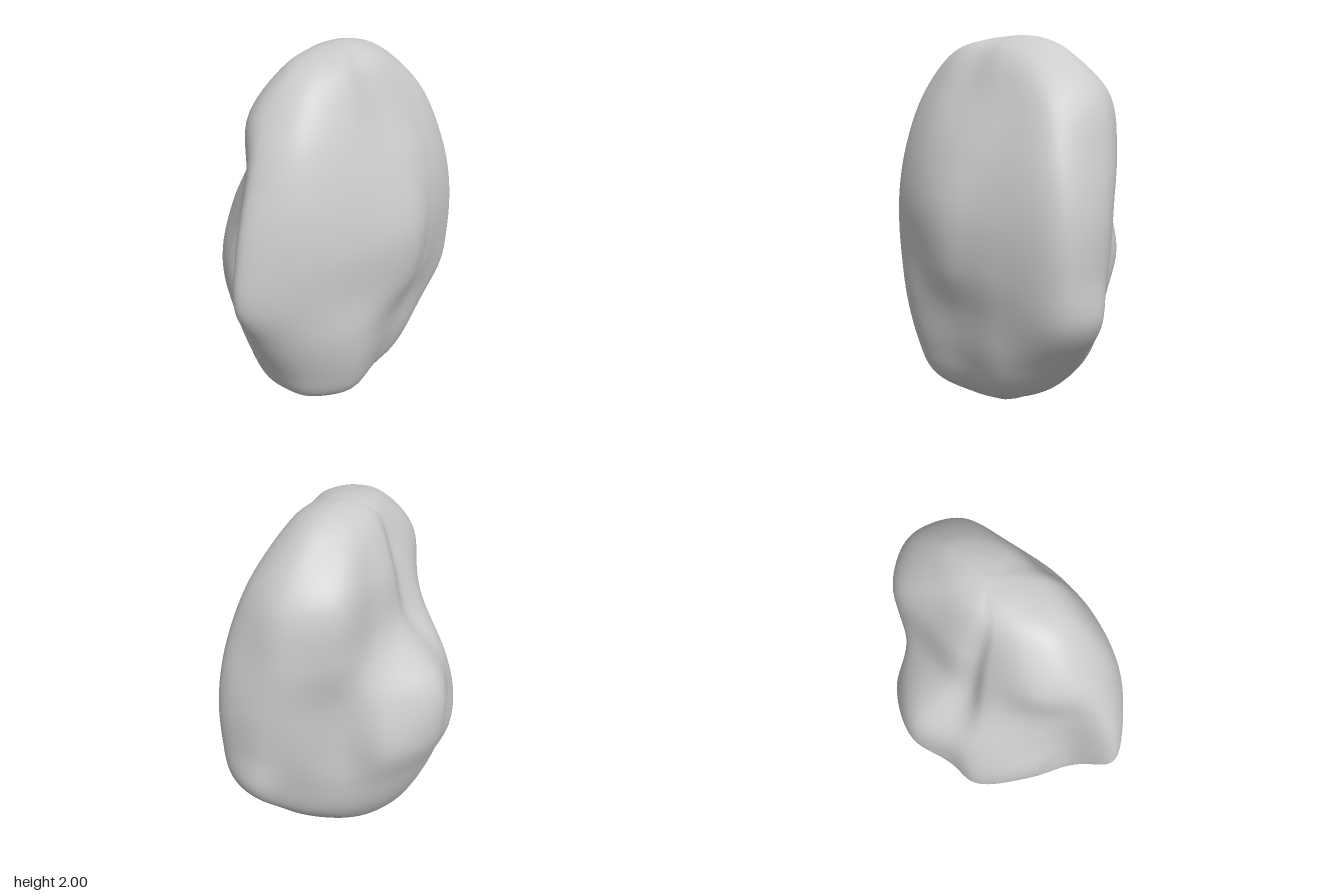
import * as THREE from 'three';

// Directions around the boulder in degrees, from the front (+z) toward +x
const ANGLES = [5, 40, 63, 79, 92, 115, 137, 167, 188, 204, 235, 256, 270, 291, 324];
const CENTRE_Z = 0.05;

// Horizontal cross-sections: height, then radius along each direction
const SECTIONS = [
  { y: 0.05, r: [.14, .15, .15, .16, .16, .16, .17, .20, .20, .20, .21, .22, .22, .22, .19] },
  { y: 0.17, r: [.30, .37, .40, .395, .38, .36, .35, .35, .35, .36, .39, .42, .43, .44, .39] },
  { y: 0.36, r: [.375, .48, .58, .59, .55, .50, .48, .465, .455, .47, .48, .51, .53, .53, .47] },
  { y: 0.60, r: [.43, .54, .76, .77, .63, .55, .56, .56, .55, .59, .55, .57, .65, .61, .51] },
  { y: 0.84, r: [.51, .59, .79, .77, .68, .55, .62, .635, .57, .60, .57, .56, .765, .65, .51] },
  { y: 1.12, r: [.53, .60, .78, .77, .70, .55, .56, .61, .54, .53, .50, .54, .74, .65, .52] },
  { y: 1.40, r: [.45, .54, .71, .72, .70, .58, .43, .37, .34, .40, .43, .52, .655, .60, .47] },
  { y: 1.70, r: [.30, .39, .56, .62, .63, .55, .37, .295, .25, .29, .41, .49, .51, .48, .36] },
  { y: 1.92, r: [.18, .24, .32, .38, .40, .32, .24, .19, .17, .18, .23, .28, .30, .29, .23] },
];
const BOTTOM = new THREE.Vector3(0, 0, 0.05);
const TOP = new THREE.Vector3(0.1, 2, 0.03);

const RINGS = 90;
const AROUND = 144;

// Point halfway to a pole, at a height that rounds the end off
function capPoint(point, pole, y) {
  return point.clone().lerp(pole, 0.5).setY(y);
}

// Shallow slanting groove down the front face
function carveGroove(p) {
  if (p.z < 0.2) return p;
  const across = (p.x - 0.16 - 0.2 * (p.y - 0.7)) / 0.1;
  const along = (p.y - 0.95) / 0.4;
  p.z -= 0.012 * Math.exp(-across * across - along * along);
  return p;
}

function boulderGeometry() {
  // One smooth curve from bottom to top along each direction
  const columns = ANGLES.map((deg, k) => {
    const a = THREE.MathUtils.degToRad(deg);
    const points = SECTIONS.map(({ y, r }) =>
      new THREE.Vector3(Math.sin(a) * r[k], y, CENTRE_Z + Math.cos(a) * r[k]));
    return new THREE.CatmullRomCurve3([
      BOTTOM, capPoint(points[0], BOTTOM, 0.013),
      ...points,
      capPoint(points[points.length - 1], TOP, 1.98), TOP,
    ]);
  });

  // Closed smooth rings through the columns, between two pole vertices
  const positions = [...BOTTOM.toArray()];
  for (let i = 1; i < RINGS; i++) {
    const ring = new THREE.CatmullRomCurve3(columns.map((c) => c.getPoint(i / RINGS)), true);
    for (let j = 0; j < AROUND; j++) {
      positions.push(...carveGroove(ring.getPoint(j / AROUND)).toArray());
    }
  }
  positions.push(...TOP.toArray());

  const index = [];
  const last = positions.length / 3 - 1;
  const at = (i, j) => 1 + (i - 1) * AROUND + (j % AROUND);
  for (let j = 0; j < AROUND; j++) {
    index.push(0, at(1, j + 1), at(1, j));
    for (let i = 1; i < RINGS - 1; i++) {
      const a = at(i, j), b = at(i, j + 1), c = at(i + 1, j + 1), d = at(i + 1, j);
      index.push(a, b, c, a, c, d);
    }
    index.push(at(RINGS - 1, j), at(RINGS - 1, j + 1), last);
  }

  const geometry = new THREE.BufferGeometry();
  geometry.setAttribute('position', new THREE.Float32BufferAttribute(positions, 3));
  geometry.setIndex(index);
  geometry.computeVertexNormals();
  return geometry;
}

export function createModel() {
  const group = new THREE.Group();
  group.name = 'rock';
  const boulder = new THREE.Mesh(
    boulderGeometry(),
    new THREE.MeshStandardMaterial({ color: 0xcccccc }),
  );
  boulder.name = 'boulder';
  group.add(boulder);
  return group;
}
